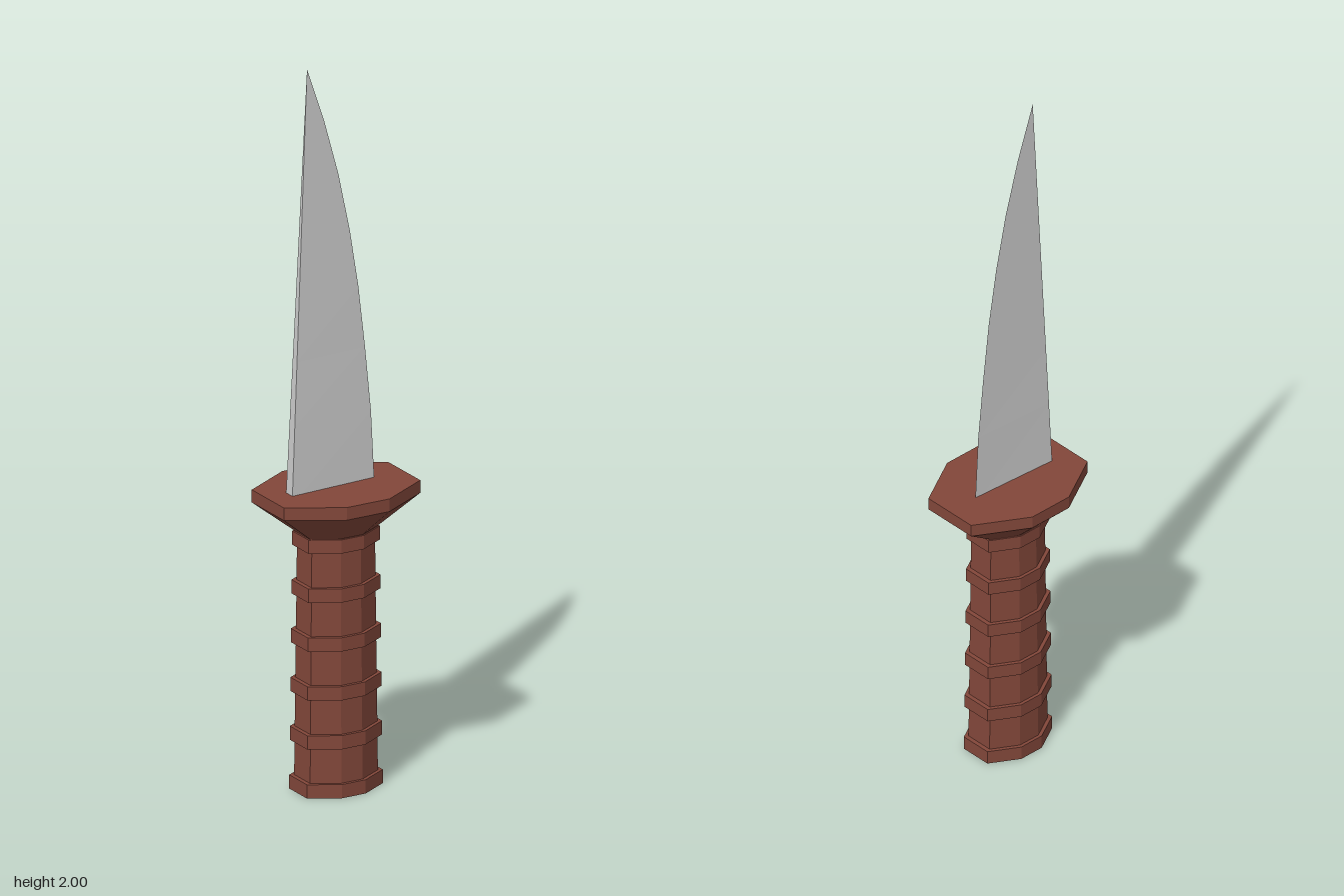
import * as THREE from 'three';

// Closed faceted solid through a stack of sections (each a ring of [x, y, z])
function loft(sections) {
  const pos = [];
  const tri = (...pts) => pts.forEach(p => pos.push(...p));
  const n = sections[0].length;
  for (let s = 0; s < sections.length - 1; s++) {
    const lo = sections[s], hi = sections[s + 1];
    for (let i = 0; i < n; i++) {
      const j = (i + 1) % n;
      tri(lo[i], hi[i], lo[j]);
      tri(lo[j], hi[i], hi[j]);
    }
  }
  const bottom = sections[0], top = sections[sections.length - 1];
  for (let i = 1; i < n - 1; i++) {
    tri(bottom[0], bottom[i], bottom[i + 1]);
    tri(top[0], top[i + 1], top[i]);
  }
  const g = new THREE.BufferGeometry();
  g.setAttribute('position', new THREE.Float32BufferAttribute(pos, 3));
  g.computeVertexNormals();
  return g;
}

// Stretched octagon with half width hx and half depth hz
const OCT = [[1, 0.5], [0.314, 1], [-0.314, 1], [-1, 0.5],
  [-1, -0.5], [-0.314, -1], [0.314, -1], [1, -0.5]];
const octagon = (hx, hz, y) => OCT.map(([x, z]) => [x * hx, y, z * hz]);

export function createModel() {
  const group = new THREE.Group();
  const brown = new THREE.MeshStandardMaterial({ color: 0x82473a, flatShading: true });
  const steel = new THREE.MeshStandardMaterial({ color: 0xcccccc, flatShading: true });
  const add = (name, geometry, material) => {
    const mesh = new THREE.Mesh(geometry, material);
    mesh.name = name;
    group.add(mesh);
  };

  // Grip: slightly tapered octagonal core with six raised bands
  const grip = [];
  for (let i = 0; i < 6; i++) {
    const y0 = i * 0.135, y1 = y0 + 0.038, t = i / 5;
    const bx = 0.115 - 0.007 * t, bz = 0.09 - 0.006 * t;
    const cx = bx - 0.012, cz = bz - 0.009;
    if (i > 0) grip.push(octagon(cx, cz, y0));
    grip.push(octagon(bx, bz, y0), octagon(bx, bz, y1));
    grip.push(octagon(cx, cz, y1));
  }
  add('grip', loft(grip), brown);

  // Guard: flares out from the grip to a flat plate
  add('guard', loft([
    octagon(0.1, 0.08, 0.705),
    octagon(0.104, 0.081, 0.715),
    octagon(0.207, 0.163, 0.798),
    octagon(0.207, 0.163, 0.833),
  ]), brown);

  // Blade: wedge section, thick straight spine and a curved cutting edge
  const edge = [[0.117, 0.81], [0.106, 1.02], [0.088, 1.2], [0.068, 1.37],
    [0.042, 1.53], [0.008, 1.69], [-0.035, 1.845], [-0.088, 2]];
  add('blade', loft(edge.map(([x, y]) => {
    const t = (y - 0.83) / 1.17;
    const back = -0.142 + 0.054 * t, half = 0.016 * (1 - t);
    return [[x, y, 0], [back, y, half], [back, y, -half]];
  })), steel);

  return group;
}
